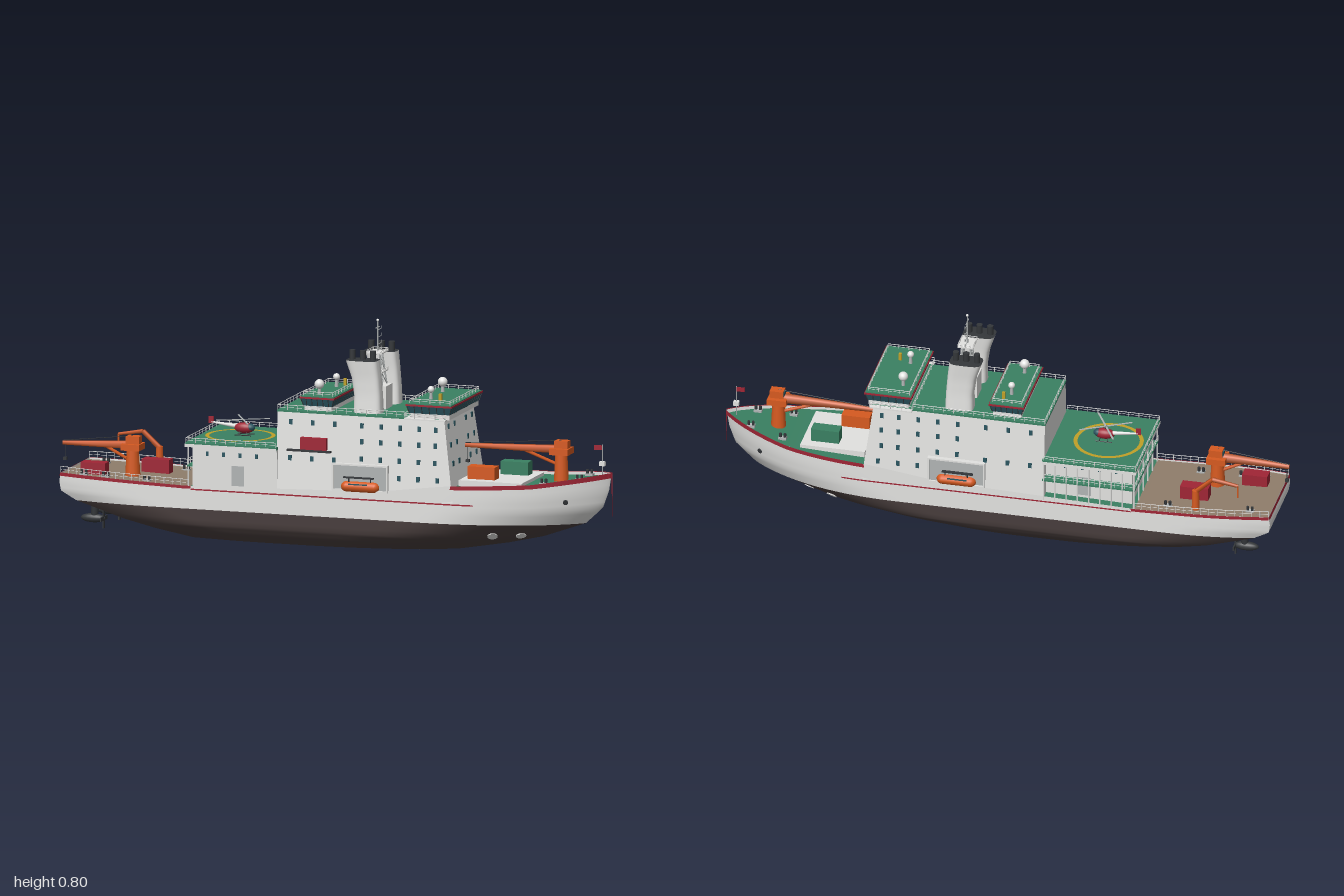
import * as THREE from 'three';
import { mergeGeometries } from 'three/addons/utils/BufferGeometryUtils.js';

const { lerp, clamp } = THREE.MathUtils;
const V = (x, y, z) => new THREE.Vector3(x, y, z);
const paint = (name, color, side = THREE.FrontSide) => Object.assign(new THREE.MeshStandardMaterial({ color, side }), { name });
const white = paint('white', 0xe2e2e0, THREE.DoubleSide), bottomPaint = paint('bottom paint', 0x4a3f3e, THREE.DoubleSide);
const red = paint('red', 0xa02535, THREE.DoubleSide), green = paint('deck green', 0x3a8062, THREE.DoubleSide);
const brown = paint('deck brown', 0x8f7d6b, THREE.DoubleSide), orange = paint('orange', 0xd65a20);
const glass = paint('window glass', 0x2a5560), dark = paint('dark grey', 0x34373a, THREE.DoubleSide);
const steel = paint('steel grey', 0xb0b4b4), yellow = paint('yellow', 0xc0a028, THREE.DoubleSide);

// Surface over a rectangular parameter grid
function grid(fn, nu, nv) {
  const pos = [], idx = [];
  for (let i = 0; i <= nu; i++) for (let j = 0; j <= nv; j++) pos.push(...fn(i / nu, j / nv));
  for (let i = 0; i < nu; i++) for (let j = 0; j < nv; j++) {
    const a = i * (nv + 1) + j, b = a + nv + 1;
    idx.push(a, a + 1, b, b, a + 1, b + 1);
  }
  const g = new THREE.BufferGeometry();
  g.setAttribute('position', new THREE.Float32BufferAttribute(pos, 3));
  g.setIndex(idx);
  g.computeVertexNormals();
  return g;
}

// Hull levels: height, stern x, bow x, half breadth, bow taper length, stern width ratio
const rows = [
  [.01, -.5, .45, .12, .55, .8], [.04, -.63, .62, .155, .6, .8], [.07, -.74, .75, .176, .6, .8],
  [.125, -.91, .905, .18, .56, .82], [0, -.965, .968, .18, .56, .84], [0, -.97, .99, .18, .55, .86], [0, -.965, 1, .18, .55, .87],
];
const sheer = [[-1, .222], [-.5, .205], [.2, .225], [.45, .258], [.75, .272], [1, .306]];
function deckY(x) {
  const i = clamp(sheer.findIndex(p => p[0] >= x), 1, 5), [a, b] = [sheer[i - 1], sheer[i]];
  return lerp(a[1], b[1], (x - a[0]) / (b[0] - a[0]));
}
function level(v) {
  const i = Math.min(Math.floor(v), 5);
  return rows[i].map((a, k) => lerp(a, rows[i + 1][k], v - i));
}
function halfBreadth(x, [, xs, xb, b, taper, ratio]) {
  const s = clamp((x - xb + taper) / taper, 0, 1), t = clamp((xs + .3 - x) / .3, 0, 1);
  return b * (1 - s ** 2.3) ** .85 * (1 - (1 - ratio) * t * t);
}
function hull(u, v) {
  const p = level(v), x = lerp(p[1], p[2], u);
  return [x, v <= 3 ? p[0] : lerp(.125, deckY(x), (v - 3) / 3), halfBreadth(x, p)];
}
const hullZ = (x, y) => halfBreadth(x, level(y > .125 ? 3 + 3 * (y - .125) / (deckY(x) - .125) : 2 + (y - .07) / .055));
const deckU = x => (x + .965) / 1.965;

export function createModel() {
  const root = new THREE.Group();
  root.name = 'researchShip';
  const add = (name, geo, mat, x = 0, y = 0, z = 0) => {
    const m = new THREE.Mesh(geo, mat);
    m.name = name;
    m.position.set(x, y, z);
    root.add(m);
    return m;
  };
  const box = (name, mat, x0, x1, y0, y1, z0, z1) =>
    add(name, new THREE.BoxGeometry(x1 - x0, y1 - y0, z1 - z0), mat, (x0 + x1) / 2, (y0 + y1) / 2, (z0 + z1) / 2);
  // Box whose bottom and top rectangles differ
  const taperBox = (name, mat, [bx0, bx1, bz], [tx0, tx1, tz], y0, y1) => {
    const g = new THREE.BoxGeometry(1, 1, 1), p = g.attributes.position;
    for (let i = 0; i < p.count; i++) {
      const up = p.getY(i) > 0, right = p.getX(i) > 0;
      p.setXYZ(i, right ? (up ? tx1 : bx1) : (up ? tx0 : bx0), up ? y1 : y0, Math.sign(p.getZ(i)) * (up ? tz : bz));
    }
    g.computeVertexNormals();
    return add(name, g, mat);
  };
  const bar = (a, b, r = .0013, r2 = r, n = 5) => {
    const d = b.clone().sub(a), g = new THREE.CylinderGeometry(r2, r, d.length(), n);
    if (n === 4) g.rotateY(Math.PI / 4);
    g.applyQuaternion(new THREE.Quaternion().setFromUnitVectors(V(0, 1, 0), d.normalize()));
    const m = a.clone().lerp(b, .5);
    return g.translate(m.x, m.y, m.z);
  };
  const bars = (name, mat, list) => add(name, mergeGeometries(list.map(l => bar(...l))), mat);
  const rail = (name, pts, h = .018) => {
    const list = [], up = p => p.clone().setY(p.y + h), mid = p => p.clone().setY(p.y + h / 2);
    for (let i = 0; i + 1 < pts.length; i++) {
      const [a, b] = [pts[i], pts[i + 1]], n = Math.max(1, Math.round(a.distanceTo(b) / .035));
      list.push([up(a), up(b)], [mid(a), mid(b), .0008]);
      for (let k = 0; k <= n; k++) { const p = a.clone().lerp(b, k / n); list.push([p, up(p)]); }
    }
    bars(name, white, list);
  };
  const loop = (x0, x1, z, y) => [V(x0, y, z), V(x1, y, z), V(x1, y, -z), V(x0, y, -z), V(x0, y, z)];

  // Hull: both sides run round the stem in one sheet, then transom, bottom and decks
  const shell = (name, mat, v0, v1, u0 = 0, out = 0, nv = 9) => add(name, grid((a, b) => {
    const k = 1 - 2 * a, s = Math.abs(k), [x, y, z] = hull(lerp(u0, 1, Math.cos(s * Math.PI / 2)), lerp(v0, v1, b));
    return [x + (s < .1 ? out : 0), y, Math.sign(k) * (z + out)];
  }, 120, nv), mat);
  shell('hullBottom', bottomPaint, 0, 3);
  shell('hullTopsides', white, 3, 6);
  const span = (name, mat, u0, u1, v0, v1, dy = 0) => add(name, grid((a, b) => {
    const [x, y, z] = hull(lerp(u0, u1, a), lerp(v0, v1, v0 === v1 ? 0 : a));
    return [x, y + dy, z * (1 - 2 * b)];
  }, 40, 2), mat);
  span('keelPlate', bottomPaint, 0, 1, 0, 0);
  span('transomBottom', bottomPaint, 0, 0, 0, 3);
  span('transom', white, 0, 0, 3, 6);
  span('transomTrim', red, 0, 0, 5.6, 6).position.x = -.002;
  span('aftDeck', brown, 0, deckU(-.49), 5.8, 5.8);
  span('foreDeck', green, deckU(-.49), 1, 5.8, 5.8);
  shell('bowTrim', red, 5.72, 6.03, deckU(.47), .002, 1);
  box('keel', bottomPaint, -.4, .3, 0, .012, -.015, .015);
  for (const s of [1, -1]) {
    add('aftTrim', grid((a, b) => { const [x, y, z] = hull(lerp(0, deckU(-.48), a), lerp(5.65, 6.03, b)); return [x, y, s * (z + .002)]; }, 20, 1), red);
    add('sideStripe', grid((a, b) => { const x = lerp(-.48, .55, a), y = lerp(.192, .197, b); return [x, y, s * (hullZ(x, y) + .0025)]; }, 40, 1), red);
    // Bow thruster openings and anchors, laid on the hull surface
    const stud = (name, mat, x, y, r) => {
      const z = hullZ(x, y), n = V((z - hullZ(x + .01, y)) / .01, (z - hullZ(x, y + .01)) / .01, 1).normalize();
      n.z *= s;
      add(name, new THREE.CylinderGeometry(r, r, .006, 20), mat, x, y, s * z).quaternion.setFromUnitVectors(V(0, 1, 0), n);
    };
    for (const x of [.6, .69]) { stud('bowThruster', white, x, .08, .018); stud('thrusterHub', dark, x, .0775, .006); }
    stud('anchor', dark, .86, .21, .009);
    // Steerable propulsion pods
    bars('podStrut', dark, [[V(-.86, .17, s * .085), V(-.865, .055, s * .085), .018, .012, 10]]);
    const pod = add('pod', new THREE.SphereGeometry(1, 16, 10), dark, -.87, .055, s * .085);
    pod.scale.set(.045, .016, .016);
    for (let i = 0; i < 4; i++) {
      const blade = box('propellerBlade', dark, -.834, -.829, .055, .089, s * .085 - .007, s * .085 + .007);
      blade.geometry.translate(0, .017, 0);
      blade.position.y = .055;
      blade.rotation.x = i * Math.PI / 2;
    }
    const edge = [];
    for (let i = 0; i <= 8; i++) { const [x, y, z] = hull(deckU(-.49) * i / 8, 6); edge.push(V(x, y, s * z * .985)); }
    rail('aftRail', edge, .022);
  }

  // Deckhouse, helicopter deck and the open gallery on the far side
  taperBox('deckhouse', white, [-.17, .478, .18], [-.17, .44, .157], .2, .485);
  box('upperDeck', green, -.172, .446, .483, .489, -.16, .16);
  box('hangar', white, -.475, -.165, .2, .35, -.14, .179);
  box('helicopterDeck', green, -.5, -.165, .349, .359, -.184, .184);
  box('helideckEdge', white, -.501, -.166, .343, .354, -.185, .185);
  box('galleryDeck', green, -.495, -.165, .274, .28, -.18, .178);
  const posts = [];
  for (let i = 0; i < 9; i++) posts.push([V(-.49 + i * .04, .2, -.178), V(-.49 + i * .04, .35, -.178), .003]);
  for (let i = 0; i < 6; i++) posts.push([V(-.492, .2, -.178 + i * .07), V(-.492, .35, -.178 + i * .07), .003]);
  bars('galleryPosts', white, posts);
  rail('galleryRail', [V(-.17, .28, -.179), V(-.494, .28, -.179), V(-.494, .28, .178)], .02);
  rail('helideckRail', [V(-.17, .359, .183), V(-.498, .359, .183), V(-.498, .359, -.183), V(-.17, .359, -.183)], .016);
  rail('upperDeckRail', loop(-.17, .3, .157, .489));
  add('landingCircle', new THREE.RingGeometry(.108, .122, 48).rotateX(-Math.PI / 2), yellow, -.36, .3605, 0);

  // Windows and doors
  for (const s of [1, -1]) {
    const wallZ = y => lerp(.18, .157, (y - .2) / .285);
    const pane = (x, y) => box('sideWindow', glass, x - .006, x + .006, y - .009, y + .009, s * wallZ(y) - .003, s * wallZ(y) + .003);
    for (const y of [.45, .395, .335]) for (const x of [.14, .21, .28, .35, .41]) pane(x, y);
    for (const x of [.28, .35, .42]) pane(x, .275);
    for (const x of [-.12, -.04, .04]) { pane(x, .45); pane(x, .325); }
    for (const y of [.46, .395, .33]) for (const z of [.06, .125]) {
      const x = lerp(.478, .44, (y - .2) / .285);
      box('frontWindow', glass, x - .003, x + .003, y - .009, y + .009, s * z - .006, s * z + .006);
    }
    const z = s > 0 ? .179 : -.14;
    for (const x of [-.42, -.36, -.3, -.24]) box('hangarWindow', glass, x - .005, x + .005, .315, .331, z - .002, z + .002);
    box('hangarDoor', steel, -.33, -.285, .215, .285, z - .002, z + .002);
    // Lifeboat bay
    box('lifeboatBay', steel, .045, .235, .228, .312, s * .1765 - .004, s * .1765 + .004);
    for (const y of [.222, .312]) box('bayFrame', white, .038, .242, y, y + .006, s * .179 - .008, s * .179 + .008);
    for (const x of [.038, .236]) box('bayFrame', white, x, x + .006, .222, .318, s * .179 - .008, s * .179 + .008);
    box('davitBeam', dark, .08, .19, .268, .273, s * .183 - .008, s * .183 + .008);
    bars('davitFalls', dark, [.1, .18].map(x => [V(x, .27, s * .185), V(x, .24, s * .185), .002]));
    add('lifeboat', new THREE.CapsuleGeometry(.02, .1, 6, 12).rotateZ(Math.PI / 2), orange, .14, .238, s * .178).scale.y = .95;
    box('lifeboatWindows', glass, .1, .17, .246, .25, s * .193 - .003, s * .193 + .003);
    // Funnels
    const stack = (name, mat, lv) => add(name, grid((a, b) => {
      const i = Math.min(Math.floor(a * (lv.length - 1)), lv.length - 2), f = a * (lv.length - 1) - i;
      const [y, x, w, d] = lv[i].map((p, k) => lerp(p, lv[i + 1][k], f)), t = b * Math.PI * 2;
      const round = q => Math.sign(q) * Math.abs(q) ** .5;
      return [x + w * round(Math.cos(t)), y, s * .101 + d * round(Math.sin(t))];
    }, 3 * (lv.length - 1), 32), mat);
    stack('funnel', white, [[.485, .145, .05, .034], [.55, .144, .048, .031], [.61, .137, .05, .032], [.672, .123, .057, .038]]);
    stack('funnelTop', dark, [[.672, .123, .057, .038], [.674, .123, 0, 0]]);
    for (const x of [.085, .123, .16]) add('exhaustPipe', new THREE.CylinderGeometry(.011, .011, .04, 12), dark, x, .685, s * .101);
  }
  // Side shelf with rescue boat crate
  box('boatShelf', dark, -.13, .03, .35, .356, .15, .182);
  box('rescueCrate', red, -.08, .015, .358, .4, .155, .182);

  // Bridges: flared glass band, red trim, green roof, railings
  const bridge = (name, x0, x1, z) => {
    box(name + 'Base', white, x0 + .01, x1 - .01, .487, .506, -z + .01, z - .01);
    taperBox(name + 'Glass', glass, [x0 + .008, x1 - .008, z - .008], [x0, x1, z], .505, .532);
    const mull = [];
    for (let i = 0; i <= 14; i++) for (const [a, b] of [[x0 + .008, x0], [x1 - .008, x1]])
      mull.push([V(a, .505, (z - .008) * (i / 7 - 1)), V(b, .532, z * (i / 7 - 1)), .0016]);
    for (let i = 1; i < 6; i++) for (const s of [1, -1])
      mull.push([V(lerp(x0, x1, i / 6), .505, s * (z - .008)), V(lerp(x0, x1, i / 6), .532, s * z), .0016]);
    bars(name + 'Mullions', dark, mull);
    box(name + 'Trim', red, x0 - .003, x1 + .003, .531, .537, -z - .003, z + .003);
    box(name + 'Roof', green, x0, x1, .536, .54, -z, z);
    rail(name + 'RoofRail', loop(x0 + .008, x1 - .008, z - .012, .54), .014);
  };
  bridge('bridge', .305, .468, .166);
  bridge('aftBridge', -.09, .03, .145);
  box('bridgeWingDeck', white, .3, .45, .484, .489, -.178, .178);
  for (const s of [1, -1]) rail('wingRail', [V(.3, .489, s * .176), V(.45, .489, s * .176)]);
  for (const [x, z, r] of [[-.04, .09, .017], [.35, -.09, .017], [.36, .065, .012], [-.03, -.065, .012]]) {
    add('domeStand', new THREE.CylinderGeometry(.005, .007, .025, 10), steel, x, .551, z);
    add('radarDome', new THREE.SphereGeometry(r, 18, 12), white, x, .575, z);
  }
  for (const [x, z] of [[.4, .08], [-.01, -.1]]) box('searchlight', yellow, x - .005, x + .005, .54, .565, z - .005, z + .005);

  // Mast
  box('mastHouse', white, .1, .185, .485, .57, -.034, .034);
  const legs = [];
  for (const sx of [1, -1]) for (const s of [1, -1]) {
    legs.push([V(.143 + sx * .025, .57, s * .024), V(.143 + sx * .012, .68, s * .014), .003]);
    legs.push([V(.143 + sx * .025, .57, s * .024), V(.143 + sx * .018, .62, -s * .019), .0015]);
    legs.push([V(.143 + sx * .018, .62, s * .019), V(.143 + sx * .012, .68, -s * .014), .0015]);
  }
  legs.push([V(.143, .68, 0), V(.143, .795, 0), .0035, .002], [V(.143, .77, -.02), V(.143, .77, .02), .002]);
  for (const y of [.69, .71, .735, .76]) legs.push([V(.143, y, 0), V(.143, y, -.037)], [V(.143, y, -.037), V(.143, y + .01, -.037)]);
  bars('mastLattice', steel, legs);
  for (const y of [.615, .682]) {
    box('mastPlatform', white, .115, .17, y, y + .004, -.035, .035);
    rail('mastPlatformRail', loop(.116, .169, .034, y), .012);
  }
  add('mastLight', new THREE.SphereGeometry(.005, 10, 8), white, .143, .795, 0);

  // Cranes
  const crane = (name, x, z, y0, y1, tipX, tipY) => {
    bars(name + 'Pedestal', orange, [[V(x, y0, z), V(x, y1 - .02, z), .027, .021, 14]]);
    box(name + 'House', orange, x - .034, x + .034, y1 - .022, y1, z - .034, z + .034);
    box(name + 'Cab', orange, x - .02, x + .028, y1, y1 + .026, z - .018, z + .018);
    box(name + 'CabWindow', glass, x - .023, x - .017, y1 + .006, y1 + .02, z - .013, z + .013);
    bars(name + 'Boom', orange, [[V(x + .02, y1 - .005, z), V(tipX, tipY, z), .019, .009, 4],
      [V(x - .01, y1 - .06, z), V(lerp(x, tipX, .4), lerp(y1, tipY, .4) - .008, z), .006]]);
    bars(name + 'Cable', dark, [[V(x, y1 + .026, z), V(tipX, tipY + .008, z)], [V(tipX + .008, tipY, z), V(tipX + .008, tipY - .05, z)]]);
    box(name + 'Hook', dark, tipX + .002, tipX + .014, tipY - .06, tipY - .05, z - .006, z + .006);
  };
  crane('foreCrane', .815, 0, .25, .385, .465, .375);
  crane('aftCrane', -.735, .055, .2, .32, -.99, .308);
  bars('foldingCrane', orange, [[V(-.7, .2, -.13), V(-.7, .28, -.13), .014, .012, 10], [V(-.7, .275, -.13), V(-.76, .33, -.13), .01, .009, 4],
    [V(-.76, .33, -.13), V(-.85, .315, -.13), .009, .006, 4], [V(-.85, .315, -.13), V(-.85, .27, -.13), .003]]);

  // Cargo and deck gear
  box('cargoHatch', white, .48, .71, .24, .272, -.12, .12);
  box('greenContainer', green, .58, .68, .272, .318, -.085, -.038);
  box('orangeContainer', orange, .5, .6, .272, .316, .038, .085);
  box('redContainer', red, -.73, -.63, .2, .252, -.07, -.025);
  box('redContainer', red, -.91, -.82, .2, .252, .06, .105);
  const gear = [[-.89, -.115], [-.89, .125], [-.6, -.125], [-.81, .125], [-.66, .125], [.9, -.055], [.9, .055], [.78, -.085], [.78, .085]];
  for (const [x, z] of gear) {
    const y = deckY(x) - .01;
    box('bollardBase', steel, x - .014, x + .014, y, y + .008, z - .01, z + .01);
    for (const d of [-.008, .008]) add('bollard', new THREE.CylinderGeometry(.005, .005, .018, 8), dark, x + d, y + .013, z);
  }
  bars('flagStaff', steel, [[V(.965, .29, 0), V(.965, .405, 0), .002]]);
  box('flag', red, .935, .965, .385, .402, -.001, .001);
  box('bowLightPost', white, .955, .975, .33, .345, -.008, .008);

  // Helicopter
  add('helicopterBody', new THREE.SphereGeometry(1, 18, 12), red, -.345, .388, 0).scale.set(.037, .019, .019);
  add('helicopterNose', new THREE.SphereGeometry(1, 14, 10), glass, -.325, .39, 0).scale.set(.019, .014, .016);
  bars('tailBoom', white, [[V(-.37, .392, 0), V(-.465, .402, 0), .008, .003, 8]]);
  box('tailFin', red, -.475, -.458, .398, .422, -.002, .002);
  bars('landingSkids', dark, [-1, 1].flatMap(s => [[V(-.375, .364, s * .017), V(-.315, .364, s * .017), .0018],
    [V(-.36, .364, s * .017), V(-.355, .385, s * .008)], [V(-.33, .364, s * .017), V(-.335, .385, s * .008)]]));
  bars('rotorMast', dark, [[V(-.35, .4, 0), V(-.35, .418, 0), .003]]);
  for (let i = 0; i < 2; i++) add('rotorBlade', new THREE.BoxGeometry(.19, .002, .006), steel, -.35, .417, 0).rotation.y = .5 + i * Math.PI / 2;
  return root;
}
